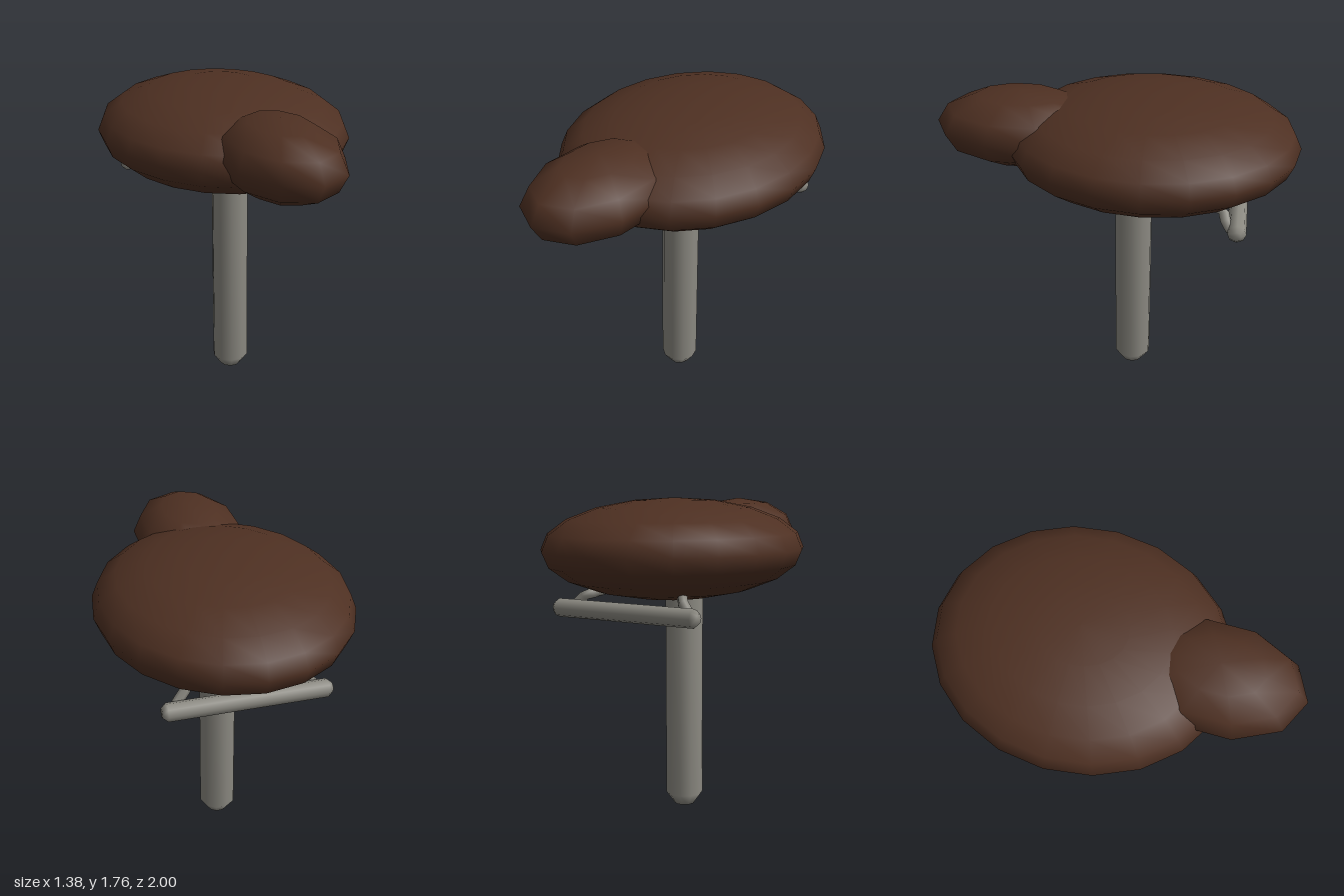
import * as THREE from 'three';

export function createModel() {
  const model = new THREE.Group();
  const leather = new THREE.MeshStandardMaterial({ color: 0x4e3022 });
  const metal = new THREE.MeshStandardMaterial({ color: 0x8c8a82 });

  function add(name, geometry, material) {
    const mesh = new THREE.Mesh(geometry, material);
    mesh.name = name;
    model.add(mesh);
    return mesh;
  }

  // Squashed sphere with a vertex on the z axis
  function ellipsoid(rx, ry, rz, sides, rings) {
    return new THREE.SphereGeometry(1, sides, rings).rotateY(Math.PI / 2).scale(rx, ry, rz);
  }

  // Closed rod along y, starting at y = 0, with bevelled ends
  function rod(radius, length, endRadius, bevel, sides) {
    const profile = [
      [0, 0], [endRadius, 0], [radius, bevel],
      [radius, length - bevel], [endRadius, length], [0, length],
    ].map(([r, y]) => new THREE.Vector2(r, y));
    return new THREE.LatheGeometry(profile, sides);
  }

  // Saddle: broad pad and narrow nose
  add('seatPad', ellipsoid(0.69, 0.275, 0.8, 20, 10), leather).position.set(0, 1.485, -0.2);
  add('seatNose', ellipsoid(0.315, 0.207, 0.475, 10, 6), leather).position.set(0, 1.537, 0.52);

  // Upright post, running up into the pad
  add('seatPost', rod(0.105, 1.42, 0.058, 0.065, 10).rotateY(Math.PI / 2), metal)
    .position.set(0, 0, -0.1);

  // Crossbar under the rear of the pad
  add('rearBar', rod(0.05, 0.9, 0.026, 0.027, 8).rotateZ(-Math.PI / 2), metal)
    .position.set(-0.45, 1.18, -0.685);

  // Bent struts joining the crossbar to the pad
  for (const side of [1, -1]) {
    const path = new THREE.CurvePath();
    const points = [
      [0.4, 1.17, -0.68], [0.36, 1.19, -0.63], [0.31, 1.245, -0.61], [0.24, 1.275, -0.5],
    ].map(([x, y, z]) => new THREE.Vector3(side * x, y, z));
    for (let i = 1; i < points.length; i++) path.add(new THREE.LineCurve3(points[i - 1], points[i]));
    add(side > 0 ? 'leftStrut' : 'rightStrut', new THREE.TubeGeometry(path, 6, 0.028, 6), metal);
  }

  return model;
}
